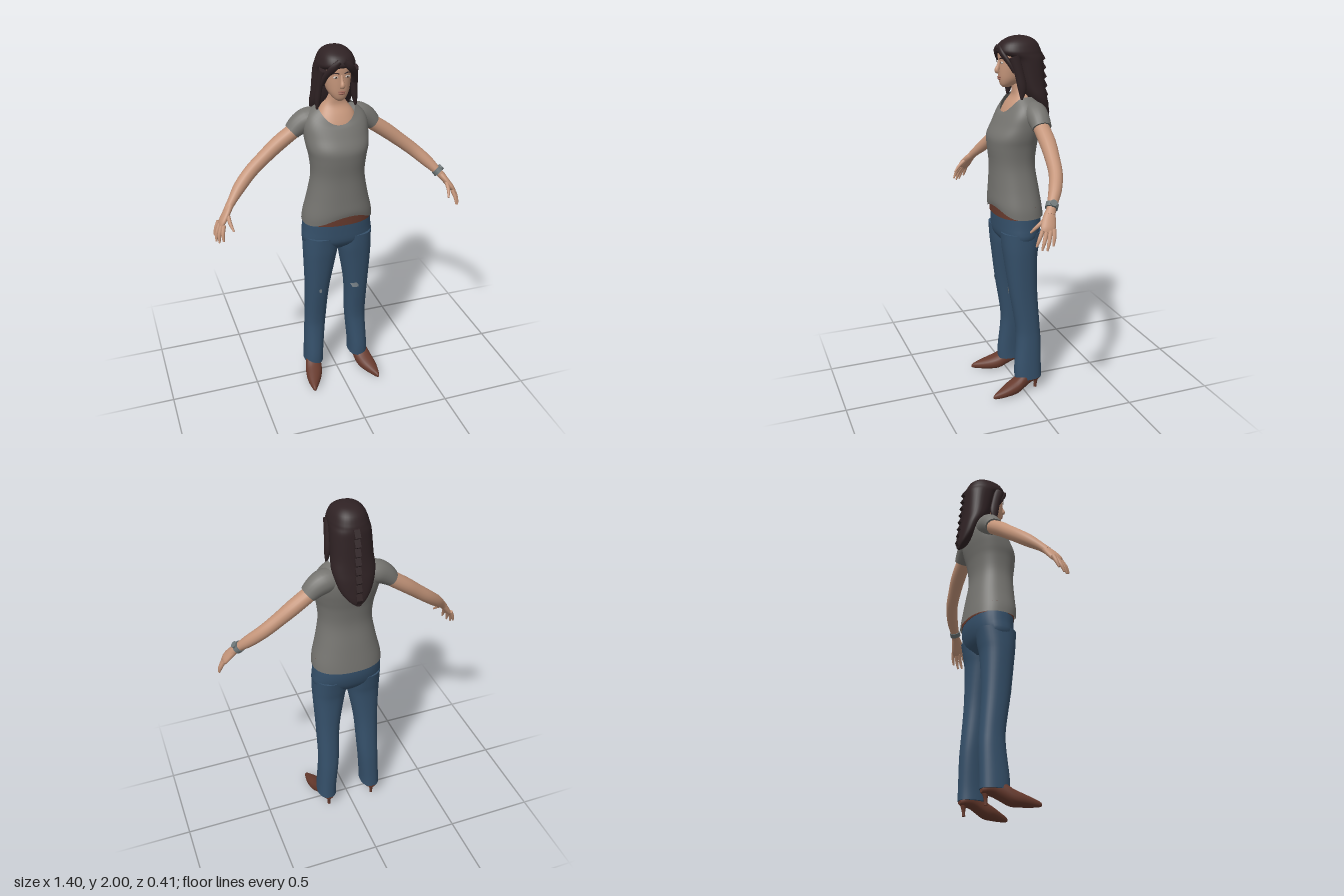
import * as THREE from 'three';

const mat = (name, color, side = THREE.FrontSide) => {
  const m = new THREE.MeshStandardMaterial({ color, side });
  m.name = name;
  return m;
};

// Catmull-Rom resampling of a short table of cross-sections
function resample(rows, per) {
  const out = [], n = rows.length - 1;
  for (let k = 0; k <= n * per; k++) {
    const i = Math.min(n - 1, Math.floor(k / per)), f = k / per - i;
    const a = rows[Math.max(0, i - 1)], b = rows[i], c = rows[i + 1], d = rows[Math.min(n, i + 2)];
    out.push(b.map((_, j) => 0.5 * (2 * b[j] + (c[j] - a[j]) * f
      + (2 * a[j] - 5 * b[j] + 4 * c[j] - d[j]) * f * f
      + (3 * b[j] - a[j] - 3 * c[j] + d[j]) * f * f * f)));
  }
  return out;
}

// Skin over rings of points, with separate end caps, always facing outward
function skinRings(rings, capped = true) {
  const seg = rings[0].length, pos = rings.flat(2), idx = [];
  for (let i = 0; i < rings.length - 1; i++)
    for (let j = 0; j < seg; j++) {
      const a = i * seg + j, b = i * seg + (j + 1) % seg;
      idx.push(a, a + seg, b, b, a + seg, b + seg);
    }
  if (capped) for (const end of [0, rings.length - 1]) {
    const start = pos.length / 3, ring = rings[end];
    pos.push(...ring.flat());
    pos.push(...[0, 1, 2].map(k => ring.reduce((s, p) => s + p[k], 0) / seg));
    for (let j = 0; j < seg; j++) {
      const a = start + j, b = start + (j + 1) % seg;
      if (end === 0) idx.push(a, b, start + seg); else idx.push(b, a, start + seg);
    }
  }
  const g = new THREE.BufferGeometry();
  g.setAttribute('position', new THREE.Float32BufferAttribute(pos, 3));
  g.computeBoundingBox();
  const c = g.boundingBox.getCenter(new THREE.Vector3());
  const p = i => new THREE.Vector3(pos[3 * i], pos[3 * i + 1], pos[3 * i + 2]).sub(c);
  let volume = 0;
  for (let i = 0; i < idx.length; i += 3) volume += p(idx[i]).dot(p(idx[i + 1]).cross(p(idx[i + 2])));
  if (volume < 0) idx.reverse();
  g.setIndex(idx);
  g.computeVertexNormals();
  return g;
}

const POWER = 0.87;
const soft = v => Math.sign(v) * Math.abs(v) ** POWER;

// Upright body form; rows are [y, xMin, xMax, zFront, zBack, ...], lift shifts y around the ring
function body(rows, { seg = 36, per = 4, lift = () => 0, capped = true } = {}) {
  return skinRings(resample(rows, per).map(r => Array.from({ length: seg }, (_, j) => {
    const a = j / seg * Math.PI * 2;
    return [(r[1] + r[2]) / 2 + (r[2] - r[1]) / 2 * soft(Math.cos(a)), r[0] + lift(r, a),
      (r[3] + r[4]) / 2 + (r[3] - r[4]) / 2 * soft(Math.sin(a))];
  })), capped);
}
const even = rows => rows.map(([y, hx, ...rest]) => [y, -hx, hx, ...rest]);

// Tapered limb along a path; rows are [x, y, z, radius toward z, other radius]
function limb(rows, s = 1, seg = 14, per = 4) {
  const pts = resample(rows.map(([x, y, z, r, q = r]) => [x * s, y, z, r, q]), per);
  const vec = i => new THREE.Vector3(...pts[Math.max(0, Math.min(pts.length - 1, i))].slice(0, 3));
  return skinRings(pts.map((r, i) => {
    const t = vec(i + 1).sub(vec(i - 1)).normalize();
    const w = new THREE.Vector3(0, 0, 1).addScaledVector(t, -t.z).normalize();
    const b = w.clone().cross(t);
    return Array.from({ length: seg }, (_, j) => {
      const a = j / seg * Math.PI * 2;
      return vec(i).addScaledVector(w, r[3] * Math.cos(a)).addScaledVector(b, r[4] * Math.sin(a)).toArray();
    });
  }));
}

export function createModel() {
  const root = new THREE.Group();
  root.name = 'standingWoman';
  const skin = mat('skin', 0xc4957a), hair = mat('dark brown hair', 0x2f2224),
    shirt = mat('grey cotton', 0x757470, THREE.DoubleSide), denim = mat('blue denim', 0x35506a),
    leather = mat('brown leather', 0x673a2d), metal = mat('watch metal', 0x6d7677),
    fray = mat('frayed denim', 0x7f8990, THREE.DoubleSide), lip = mat('lips', 0x9a6354),
    white = mat('eye white', 0xc9c0b8), dark = mat('iris', 0x3a2a24);
  const add = (name, geo, m) => {
    const mesh = new THREE.Mesh(geo, m);
    mesh.name = name;
    root.add(mesh);
    return mesh;
  };
  const blob = (name, m, at, size) => {
    const b = add(name, new THREE.SphereGeometry(1, 14, 10), m);
    b.position.set(...at);
    b.scale.set(...size);
  };

  // Shirt with a scooped neckline and a hem raised at the front
  add('shirt', body(even([
    [1.045, .196, .136, -.142, 0, .055], [1.10, .19, .14, -.135, 0, .03], [1.20, .166, .137, -.12, 0, 0],
    [1.32, .146, .134, -.102, 0, 0], [1.42, .154, .144, -.11, 0, 0], [1.48, .167, .143, -.122, 0, 0],
    [1.54, .174, .112, -.134, 0, 0], [1.60, .173, .09, -.138, .02, 0], [1.65, .148, .08, -.128, .055, 0],
    [1.69, .10, .07, -.10, .085, 0]]), {
    seg: 48, capped: false,
    lift: (r, a) => r[6] * Math.max(0, Math.cos(a - 1.4)) ** 4 - r[5] * Math.max(0, Math.sin(a)) ** 1.5,
  }), shirt);

  // Neck and upper chest
  add('neckAndChest', body(even([[1.54, .13, .085, -.1], [1.6, .115, .068, -.1], [1.65, .098, .042, -.09],
    [1.69, .07, .014, -.08], [1.73, .047, .01, -.075], [1.8, .045, .01, -.075]])), skin);

  // Head and face
  add('head', body(even([[1.735, .014, .066, .03], [1.75, .034, .078, 0], [1.78, .054, .085, -.05],
    [1.82, .066, .087, -.09], [1.865, .073, .086, -.11], [1.92, .073, .085, -.11],
    [1.96, .06, .06, -.09], [1.985, .03, .02, -.06]])), skin);
  add('nose', limb([[0, 1.875, .08, .008, .007], [0, 1.845, .09, .01, .009],
    [0, 1.824, .098, .013, .013], [0, 1.813, .09, .008, .012]]), skin);
  blob('upperLip', lip, [0, 1.789, .085], [.021, .005, .008]);
  blob('lowerLip', lip, [0, 1.78, .084], [.018, .006, .009]);
  for (const s of [-1, 1]) {
    blob('eye', white, [s * .031, 1.866, .081], [.014, .006, .006]);
    blob('iris', dark, [s * .031, 1.866, .085], [.005, .005, .003]);
    add('eyebrow', limb([[.014, 1.884, .087, .002, .003], [.033, 1.889, .085, .003, .003],
      [.052, 1.882, .073, .001, .002]], s, 6), hair);
  }

  // Long hair: main mass, swept fringe, side locks and a ragged back edge
  add('hair', body(even([[2.0, .012, -.005, -.04], [1.99, .05, .03, -.085], [1.965, .08, .075, -.12],
    [1.93, .096, .095, -.138], [1.91, .1, .086, -.145], [1.885, .103, .04, -.15], [1.84, .106, .018, -.153],
    [1.75, .11, -.008, -.16], [1.69, .114, -.04, -.168], [1.64, .105, -.075, -.178], [1.58, .085, -.10, -.187],
    [1.53, .05, -.14, -.193], [1.5, .012, -.175, -.19]])), hair);
  for (const s of [-1, 1]) {
    add('fringe', limb([[.012, 1.945, .088, .01, .014], [.045, 1.915, .086, .011, .02],
      [.075, 1.87, .058, .013, .016], [.086, 1.82, .03, .012, .012]], s, 10), hair);
    add('sideLock', limb([[.085, 1.9, .035, .03, .018], [.093, 1.82, .01, .026, .017],
      [.1, 1.74, -.005, .025, .016], [.105, 1.68, .0, .006, .006]], s, 10), hair);
  }
  const edge = new THREE.Shape();
  edge.moveTo(.12, 1.92);
  for (let i = 0; i < 8; i++) {
    edge.lineTo(.15 + i * .0055, 1.91 - i * .048);
    edge.lineTo(.172 + i * .0045, 1.875 - i * .048);
  }
  edge.lineTo(.19, 1.51);
  edge.lineTo(.17, 1.56);
  const ragged = add('raggedHairEdge', new THREE.ExtrudeGeometry(edge, { depth: .03, bevelEnabled: false }), hair);
  ragged.rotation.y = Math.PI / 2;
  ragged.position.x = -.015;

  // Jeans seat and belt
  add('jeansSeat', body(even([[.865, .10, .05, -.06], [.92, .192, .106, -.105], [1.0, .195, .117, -.127],
    [1.09, .188, .12, -.125]])), denim);
  add('belt', body(even([[1.045, .191, .125, -.13], [1.11, .187, .126, -.13]])), leather);

  const fingers = [
    [[.648, 1.15, .108], [.66, 1.11, .13], [.661, 1.075, .145]],
    [[.657, 1.145, .092], [.675, 1.10, .11], [.68, 1.06, .124]],
    [[.663, 1.148, .074], [.685, 1.10, .09], [.692, 1.06, .102]],
    [[.666, 1.155, .057], [.685, 1.115, .064], [.694, 1.08, .072]],
    [[.62, 1.20, .078], [.618, 1.165, .12], [.606, 1.13, .154]],
  ];
  for (const s of [-1, 1]) {
    // Arms and hands
    add('sleeve', limb([[.07, 1.61, -.06, .055, .055], [.135, 1.608, -.062, .064, .064],
      [.185, 1.585, -.064, .058, .058], [.226, 1.55, -.064, .052, .045]], s, 20), shirt);
    add('arm', limb([[.19, 1.57, -.064, .043, .04], [.3, 1.493, -.063, .043, .041], [.38, 1.43, -.055, .038, .038],
      [.46, 1.365, -.04, .035, .036], [.53, 1.302, -.006, .033, .033], [.585, 1.245, .035, .025, .023],
      [.615, 1.21, .055, .025, .02]], s, 18), skin);
    add('palm', limb([[.6, 1.228, .046, .024, .02], [.625, 1.195, .065, .034, .018],
      [.65, 1.16, .08, .037, .016], [.662, 1.14, .088, .03, .01]], s), skin);
    for (const f of fingers)
      add('finger', limb(f.map((p, i) => [...p, [.0115, .010, .005][i]]), s, 8), skin);

    // Trouser legs
    const leg = [[.08, .085, .196, .05, -.107], [.15, .083, .193, .05, -.106], [.3, .07, .186, .036, -.106],
      [.4, .062, .183, .038, -.1], [.6, .05, .185, .07, -.086], [.8, .016, .193, .096, -.086],
      [.88, .002, .195, .106, -.097], [.96, .0, .194, .112, -.112]];
    add('trouserLeg', body(leg.map(([y, i, o, f, b]) => [y, s * i, s * o, f, b])), denim);

    // Frayed knee patch, wrapped on the leg
    const patch = new THREE.CircleGeometry(1, 9), p = patch.attributes.position;
    const [px, py, w, h] = s > 0 ? [.09, .61, .026, .02] : [-.12, .615, .009, .018];
    for (let i = 0; i < p.count; i++) {
      const k = i % 2 ? 1 : .75, x = px + p.getX(i) * w * k, y = py + p.getY(i) * h * k;
      const u = Math.abs(x - s * .1175) / .0675, n = 2 / POWER;
      p.setXYZ(i, x, y, -.008 + (.078 + .15 * (y - .6)) * (1 - u ** n) ** (1 / n) + .005);
    }
    patch.computeVertexNormals();
    add('kneePatch', patch, fray);

    // Pointed shoes with slim heels; rows run from heel to toe
    const shoe = [[-.1, .14, .018, .06, .085], [-.08, .14, .036, .052, .11], [-.04, .142, .043, .045, .13],
      [0, .15, .046, .026, .125], [.05, .16, .05, .003, .09], [.1, .172, .045, 0, .068],
      [.15, .186, .029, 0, .048], [.19, .196, .012, .003, .032], [.203, .198, .003, .01, .02]];
    add('shoe', skinRings(resample(shoe, 3).map(r => Array.from({ length: 20 }, (_, j) => {
      const a = j / 20 * Math.PI * 2;
      return [s * (r[1] + r[2] * soft(Math.cos(a))),
        Math.max(0, (r[3] + r[4]) / 2 + (r[4] - r[3]) / 2 * soft(Math.sin(a))), r[0]];
    }))), leather);
    add('shoeHeel', limb([[.14, 0, -.076, .009], [.14, .03, -.077, .01], [.14, .075, -.078, .022]], s, 10), leather);
  }

  // Wristwatch on the left arm
  add('watchBand', limb([[.577, 1.254, .028, .032, .03], [.593, 1.236, .041, .032, .03]], 1, 18), metal);
  const dial = add('watchDial', new THREE.CylinderGeometry(.018, .018, .012, 18), metal);
  dial.position.set(.607, 1.265, .034);
  dial.rotation.z = -.75;
  return root;
}
